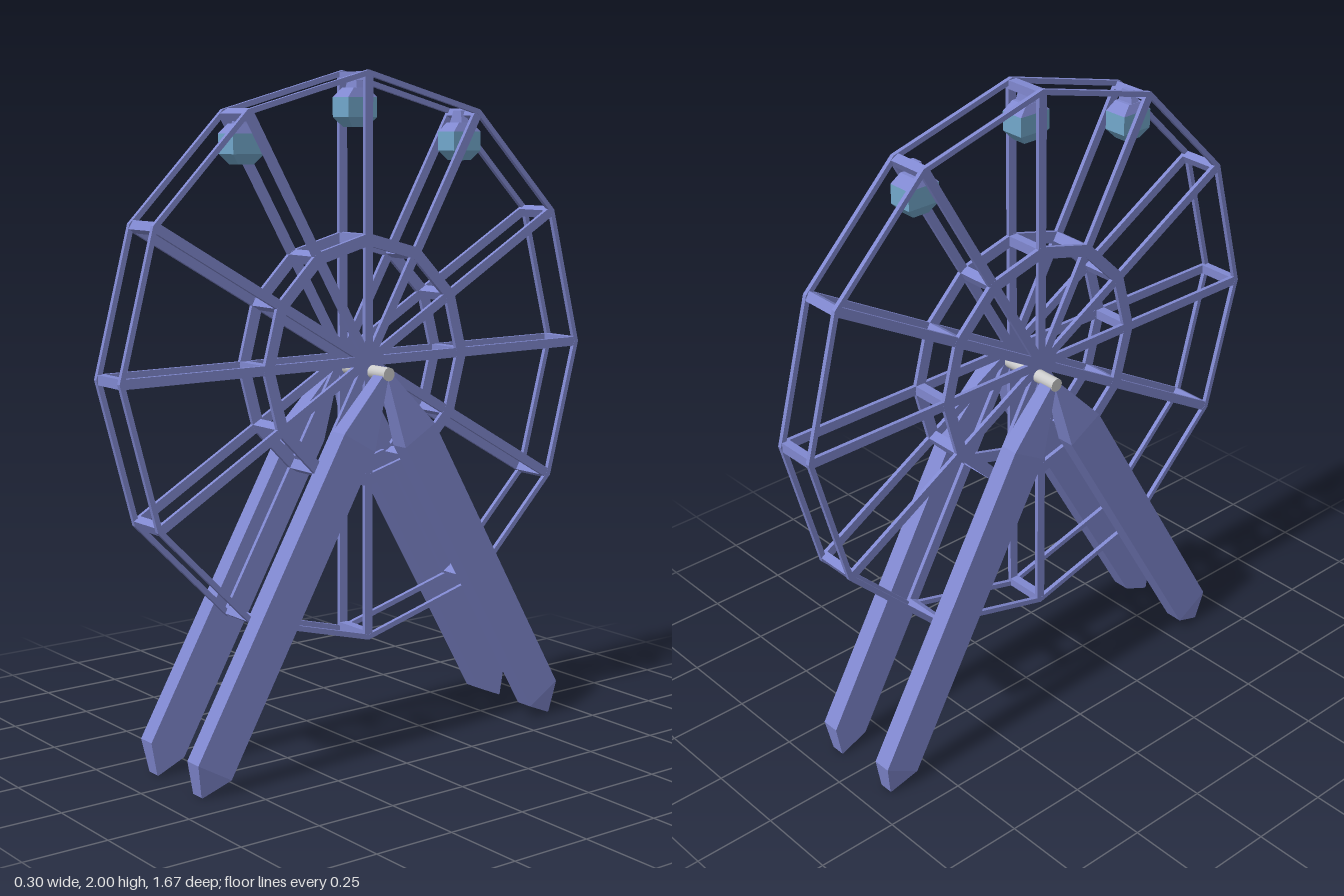
import * as THREE from 'three';
import { ConvexGeometry } from 'three/addons/geometries/ConvexGeometry.js';

const paint = new THREE.MeshStandardMaterial({ color: 0x8088d0, flatShading: true });
const glass = new THREE.MeshStandardMaterial({ color: 0x72a8cc, flatShading: true });
const steel = new THREE.MeshStandardMaterial({ color: 0xcccccc });

const SIDES = 12, HUB_Y = 1.167, RADIUS = 0.833;
const STAND_Z = -0.0135, AXLE_Y = 1.135;

function add(parent, name, geometry, material) {
  const mesh = new THREE.Mesh(geometry, material);
  mesh.name = name;
  parent.add(mesh);
  return mesh;
}

// Twelve-sided flat ring, lying in the YZ plane and centred on x = 0
function ringGeometry(outer, inner, depth) {
  const corners = (r) => Array.from({ length: SIDES }, (_, i) => {
    const a = (i / SIDES) * Math.PI * 2;
    return new THREE.Vector2(Math.cos(a) * r, Math.sin(a) * r);
  });
  const shape = new THREE.Shape(corners(outer));
  shape.holes.push(new THREE.Path(corners(inner)));
  const geometry = new THREE.ExtrudeGeometry(shape, { depth, bevelEnabled: false });
  return geometry.translate(0, 0, -depth / 2).rotateY(Math.PI / 2);
}

// Convex block from rectangular levels [y, half x, half z]
function stackGeometry(levels) {
  const points = [];
  for (const [y, hx, hz] of levels)
    for (const sx of [-1, 1])
      for (const sz of [-1, 1]) points.push(new THREE.Vector3(sx * hx, y, sz * hz));
  return new ConvexGeometry(points);
}

// Slanted leg with tapered ends: levels are [z, y, half width, outer x]
function legGeometry(sx, sz) {
  const levels = [
    [0.65, 0.004, 0.002, 0.138],
    [0.615, 0.072, 0.063, 0.152],
    [0.111, 0.947, 0.063, 0.152],
    [0.004, 1.135, 0.008, 0.14],
  ];
  const points = [];
  for (const [z, y, half, outerX] of levels)
    for (const side of [-1, 1])
      for (const x of [0.095, outerX])
        points.push(new THREE.Vector3(sx * x, y + side * half * 0.5, sz * (z + side * half * 0.866)));
  return new ConvexGeometry(points);
}

function buildWheel() {
  const wheel = new THREE.Group();
  wheel.name = 'wheel';
  wheel.position.y = HUB_Y;
  for (const x of [-0.0615, 0.0615]) {
    add(wheel, 'outerRim', ringGeometry(RADIUS, RADIUS - 0.016, 0.013), paint).position.x = x;
    add(wheel, 'innerRing', ringGeometry(0.37, 0.334, 0.0125), paint).position.x = x;
  }
  for (let i = 0; i < SIDES; i++) {
    const arm = new THREE.Group();
    arm.name = 'arm';
    arm.rotation.x = (i / SIDES) * Math.PI * 2;
    wheel.add(arm);
    for (const x of [-0.0615, 0.0615])
      add(arm, 'spoke', new THREE.BoxGeometry(0.012, 0.825, 0.028), paint).position.set(x, 0.4125, 0);
    // Bars joining the two faces of the wheel
    add(arm, 'rimCrossbar', new THREE.BoxGeometry(0.12, 0.025, 0.028), paint).position.y = 0.816;
    add(arm, 'innerCrossbar', new THREE.BoxGeometry(0.12, 0.03, 0.028), paint).position.y = 0.352;
  }
  return wheel;
}

function buildCabin(y, z) {
  const cabin = new THREE.Group();
  cabin.name = 'cabin';
  cabin.position.set(0, y, z);
  add(cabin, 'cabinBase', stackGeometry([[-0.057, 0.022, 0.026], [-0.028, 0.037, 0.052]]), glass);
  add(cabin, 'cabinBody', stackGeometry([[-0.028, 0.037, 0.052], [0.028, 0.037, 0.052]]), glass);
  add(cabin, 'cabinRoof', stackGeometry([[0.028, 0.037, 0.052], [0.055, 0.028, 0.025]]), paint);
  add(cabin, 'cabinHanger', stackGeometry([[0.055, 0.027, 0.014], [0.09, 0.017, 0.01]]), paint);
  return cabin;
}

export function createModel() {
  const model = new THREE.Group();
  model.name = 'ferrisWheel';
  model.add(buildWheel());

  // Three cabins hang near the top
  model.add(buildCabin(1.895, 0), buildCabin(1.795, 0.393), buildCabin(1.795, -0.393));

  // Axle and the two A-frames that carry it
  const stand = new THREE.Group();
  stand.name = 'stand';
  stand.position.z = STAND_Z;
  model.add(stand);
  const axle = new THREE.CylinderGeometry(0.02, 0.02, 0.29, 16).rotateZ(Math.PI / 2);
  add(stand, 'axle', axle, steel).position.y = AXLE_Y;
  for (const sx of [-1, 1])
    for (const sz of [-1, 1])
      add(stand, (sz > 0 ? 'front' : 'back') + (sx > 0 ? 'LeftLeg' : 'RightLeg'), legGeometry(sx, sz), paint);
  return model;
}
